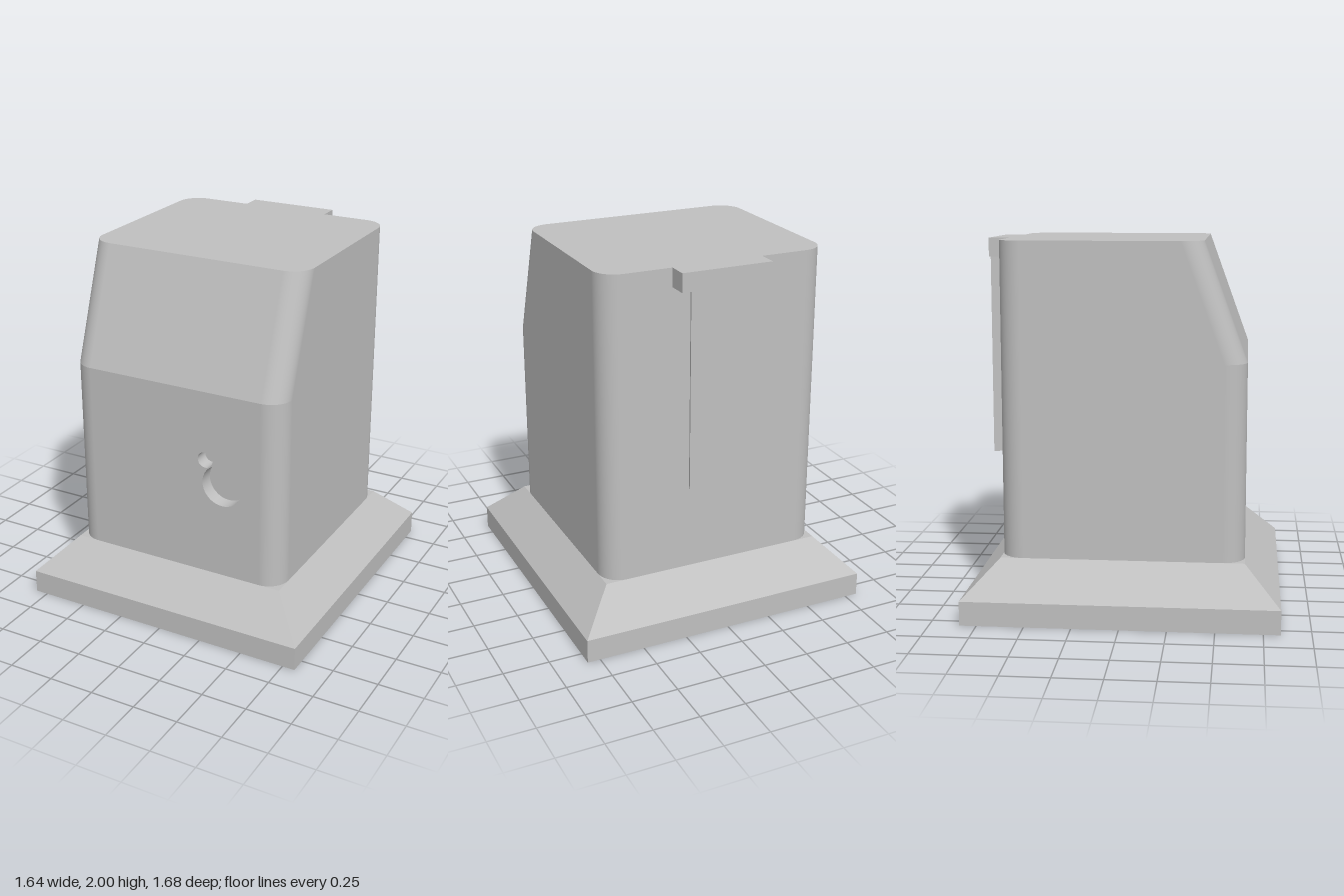
import * as THREE from 'three';

const SEG = 10; // segments per rounded corner

// Points and outward normals of a rounded rectangle in x/z
function ring(hx, zBack, zFront, r) {
  const pts = [];
  [[1, 1], [-1, 1], [-1, -1], [1, -1]].forEach(([sx, sz], k) => {
    for (let i = 0; i <= SEG; i++) {
      const a = (k + i / SEG) * Math.PI / 2, nx = Math.cos(a), nz = Math.sin(a);
      const cz = sz > 0 ? zFront - r : zBack + r;
      pts.push({ x: sx * (hx - r) + r * nx, z: cz + r * nz, nx, nz, front: sz > 0 });
    }
  });
  return pts;
}

// Wall band between two heights; optionally leaves out the flat front
function band(hx, zBack, r, y0, zf0, y1, zf1, openFront, inward) {
  const lo = ring(hx, zBack, zf0, r), hi = ring(hx, zBack, zf1, r);
  const slope = (zf1 - zf0) / (y1 - y0), s = inward ? -1 : 1;
  const pos = [], nor = [], idx = [];
  lo.forEach((p, i) => {
    const n = new THREE.Vector3(p.nx, p.front ? -p.nz * slope : 0, p.nz).normalize().multiplyScalar(s);
    pos.push(p.x, y0, p.z, hi[i].x, y1, hi[i].z);
    nor.push(n.x, n.y, n.z, n.x, n.y, n.z);
    if (openFront && i === SEG) return;
    const a = 2 * i, b = 2 * ((i + 1) % lo.length);
    if (inward) idx.push(a, b, b + 1, a, b + 1, a + 1);
    else idx.push(a, a + 1, b + 1, a, b + 1, b);
  });
  const g = new THREE.BufferGeometry();
  g.setAttribute('position', new THREE.Float32BufferAttribute(pos, 3));
  g.setAttribute('normal', new THREE.Float32BufferAttribute(nor, 3));
  g.setIndex(idx);
  return g;
}

const outline = (pts) => pts.map((p) => new THREE.Vector2(p.x, -p.z));
const rect = (hx, y0, y1) => new THREE.Shape([[-hx, y0], [hx, y0], [hx, y1], [-hx, y1]].map(([x, y]) => new THREE.Vector2(x, y)));
const circle = (x, y, r) => new THREE.Path().absarc(x, y, r, 0, Math.PI * 2, true);

// Horizontal face from a shape drawn in (x, -z)
function level(shape, y, down) {
  const g = new THREE.ShapeGeometry(shape, 16);
  if (down) {
    const i = g.index.array;
    for (let k = 0; k < i.length; k += 3) [i[k], i[k + 1]] = [i[k + 1], i[k]];
    g.computeVertexNormals();
  }
  return g.rotateX(-Math.PI / 2).translate(0, y, 0);
}

// Four flat walls between two rectangles
function taper(x0, z0, y0, x1, z1, y1) {
  const c = [[1, 1], [-1, 1], [-1, -1], [1, -1]], pos = [];
  c.forEach(([ax, az], i) => {
    const [bx, bz] = c[(i + 1) % 4];
    const A = [ax * x0, y0, az * z0], B = [bx * x0, y0, bz * z0];
    const C = [bx * x1, y1, bz * z1], D = [ax * x1, y1, az * z1];
    pos.push(...A, ...D, ...C, ...A, ...C, ...B);
  });
  const g = new THREE.BufferGeometry();
  g.setAttribute('position', new THREE.Float32BufferAttribute(pos, 3));
  g.computeVertexNormals();
  return g;
}

export function createModel() {
  const model = new THREE.Group();
  model.name = 'housing';
  const grey = new THREE.MeshStandardMaterial({ color: 0xc0c0c0, side: THREE.DoubleSide });
  grey.name = 'grey';
  const add = (name, g) => {
    const m = new THREE.Mesh(g, grey);
    m.name = name;
    model.add(m);
    return m;
  };

  // Main sizes
  const BX = 0.82, BZ = 0.84, HX = 0.63, HZ = 0.65, R = 0.12;
  const IX = 0.55, IZ = 0.57, IR = 0.05;
  const baseTop = 0.32, bend = 1.37, topFront = 0.42;
  const innerBend = 1.34, innerTop = 1.92, innerTopFront = 0.36;
  const frontHoles = [[0.29, 0.855, 0.117], [0.19, 0.985, 0.044]];
  const screwX = 0.7, screwZ = 0.715, screwR = 0.058, screwDepth = 0.12;

  // Flange: edge, sloped skirt, top rim and drilled underside
  add('flangeEdge', taper(BX, BZ, 0, BX, BZ, 0.13));
  add('flangeSlope', taper(BX, BZ, 0.13, HX, HZ, baseTop));
  const rim = rect(HX + 0.0005, -HZ - 0.0005, HZ + 0.0005);
  rim.holes.push(new THREE.Path(outline(ring(HX, -HZ, HZ, R))));
  add('flangeRim', level(rim, baseTop, false));
  const under = rect(BX, -BZ, BZ);
  under.holes.push(new THREE.Path(outline(ring(IX, -IZ, IZ, IR))));
  for (const sx of [-1, 1]) for (const sz of [-1, 1]) {
    under.holes.push(circle(sx * screwX, sz * screwZ, screwR));
    add('screwHole', new THREE.CylinderGeometry(screwR, screwR, screwDepth, 32, 1, true)
      .translate(sx * screwX, screwDepth / 2, sz * screwZ));
    add('screwHoleEnd', new THREE.CircleGeometry(screwR, 32).rotateX(Math.PI / 2)
      .translate(sx * screwX, screwDepth, sz * screwZ));
  }
  add('flangeUnderside', level(under, 0, true));

  // Outer shell with slanted upper front
  add('bodyWall', band(HX, -HZ, R, baseTop, HZ, bend, HZ, true, false));
  add('bodyUpperWall', band(HX, -HZ, R, bend, HZ, 2, topFront, false, false));
  add('bodyTop', level(new THREE.Shape(outline(ring(HX, -HZ, topFront, R))), 2, false));

  // Inner cavity
  add('cavityWall', band(IX, -IZ, IR, 0, IZ, innerBend, IZ, true, true));
  add('cavityUpperWall', band(IX, -IZ, IR, innerBend, IZ, innerTop, innerTopFront, false, true));
  add('cavityCeiling', level(new THREE.Shape(outline(ring(IX, -IZ, innerTopFront, IR))), innerTop, true));

  // Front panels, pierced by two round holes
  const outer = rect(HX - R, baseTop, bend), inner = rect(IX - IR, 0, innerBend);
  for (const [x, y, r] of frontHoles) {
    outer.holes.push(circle(x, y, r));
    inner.holes.push(circle(x, y, r));
    add('frontHole', new THREE.CylinderGeometry(r, r, HZ - IZ, 40, 1, true)
      .rotateX(Math.PI / 2).translate(x, y, (HZ + IZ) / 2));
  }
  add('frontPanel', new THREE.ShapeGeometry(outer, 20).translate(0, 0, HZ));
  add('frontPanelInside', new THREE.ShapeGeometry(inner, 20).translate(0, 0, IZ));

  // Dovetail rail on the back with its wider head
  const dovetail = new THREE.Shape([[-0.15, HZ], [0.15, HZ], [0.2, 0.76], [-0.2, 0.76]].map(([x, y]) => new THREE.Vector2(x, y)));
  add('backRail', new THREE.ExtrudeGeometry(dovetail, { depth: 1.09, bevelEnabled: false })
    .rotateX(-Math.PI / 2).translate(0, 0.81, 0));
  add('railHead', new THREE.BoxGeometry(0.5, 0.1, 0.11).translate(0, 1.95, -0.705));

  return model;
}
